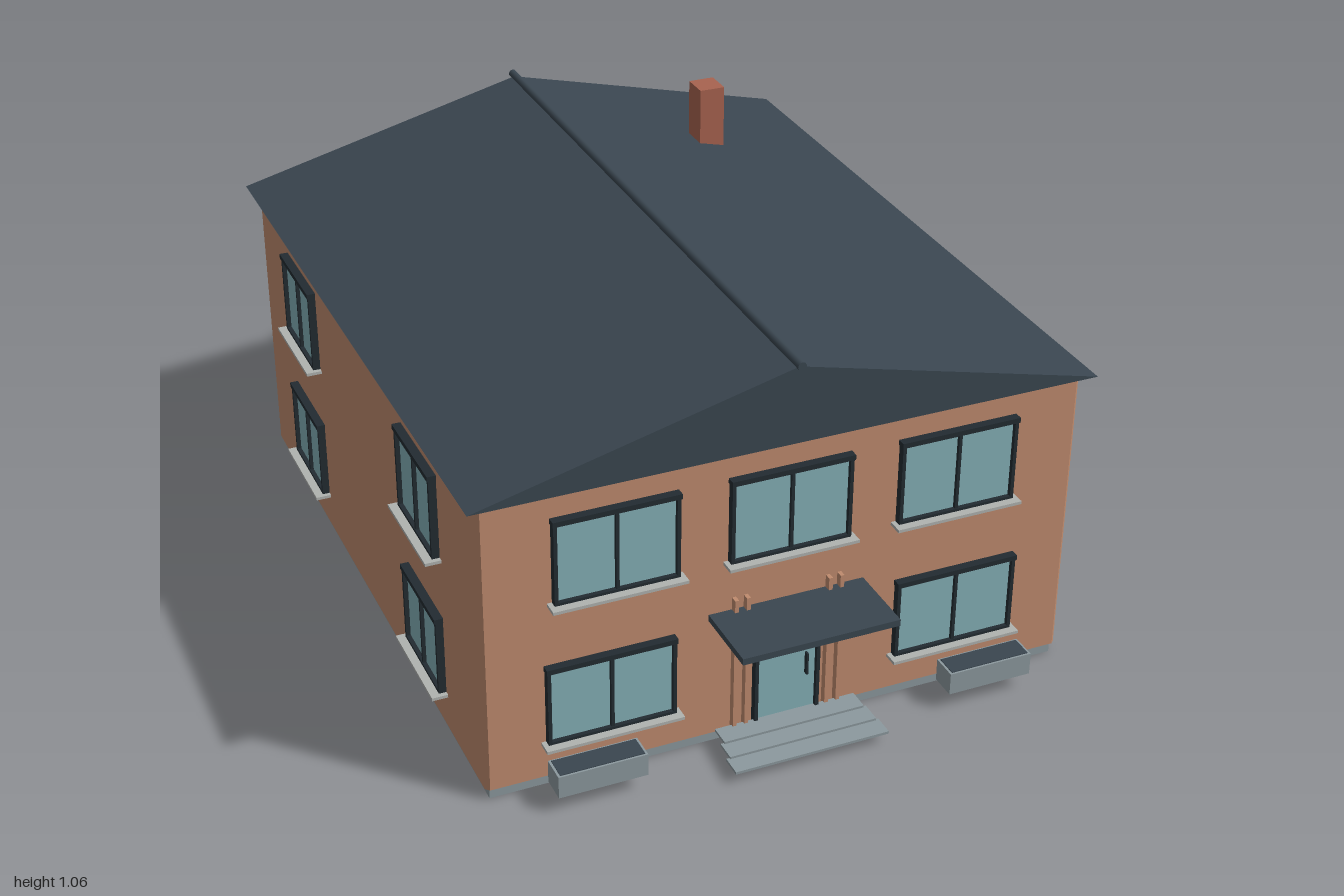
import * as THREE from 'three';

const paint = (name, color) => {
  const m = new THREE.MeshStandardMaterial({ color });
  m.name = name;
  return m;
};

export function createModel() {
  const wall = paint('brick wall', 0xbf8b6e);
  const roofing = paint('slate', 0x3a4650);
  const frame = paint('dark frame', 0x222b31);
  const glass = paint('glass', 0x84b0b7);
  const stone = paint('grey stone', 0x8c999e);
  const sillPaint = paint('pale sill', 0xb0b3b0);
  const brick = paint('chimney brick', 0xa86350);

  const model = new THREE.Group();
  model.name = 'house';

  // Box given by its limits on each axis
  function box(parent, name, mat, x0, x1, y0, y1, z0, z1) {
    const mesh = new THREE.Mesh(new THREE.BoxGeometry(x1 - x0, y1 - y0, z1 - z0), mat);
    mesh.position.set((x0 + x1) / 2, (y0 + y1) / 2, (z0 + z1) / 2);
    mesh.name = name;
    parent.add(mesh);
    return mesh;
  }

  // Foundation and walls with chamfered corners
  const W = 0.757, Z0 = -0.95, Z1 = 0.81, C = 0.01;
  box(model, 'foundation', stone, -0.746, 0.746, 0, 0.032, Z0 + 0.01, Z1 - 0.01);
  const plan = new THREE.Shape([
    [-W + C, -Z1], [W - C, -Z1], [W, -Z1 + C], [W, -Z0 - C],
    [W - C, -Z0], [-W + C, -Z0], [-W, -Z0 - C], [-W, -Z1 + C],
  ].map(([x, y]) => new THREE.Vector2(x, y)));
  const walls = new THREE.Mesh(
    new THREE.ExtrudeGeometry(plan, { depth: 0.777, bevelEnabled: false }).rotateX(-Math.PI / 2), wall);
  walls.position.y = 0.03;
  walls.name = 'walls';
  model.add(walls);

  // Gabled roof, ridge cap and chimney
  const gable = new THREE.Shape([
    new THREE.Vector2(-0.785, 0.803), new THREE.Vector2(0.785, 0.803), new THREE.Vector2(0, 1.0),
  ]);
  const roof = new THREE.Mesh(
    new THREE.ExtrudeGeometry(gable, { depth: 1.824, bevelEnabled: false }), roofing);
  roof.position.z = -0.985;
  roof.name = 'roof';
  model.add(roof);
  const ridge = new THREE.Mesh(new THREE.CylinderGeometry(0.011, 0.011, 1.848, 10).rotateX(Math.PI / 2), roofing);
  ridge.position.set(0, 1.005, -0.073);
  ridge.name = 'ridgeCap';
  model.add(ridge);
  box(model, 'chimney', brick, 0.38, 0.45, 0.85, 1.058, -0.632, -0.556);

  // Each facade is a group: local x runs along the wall, local z points outwards
  function facade(name, x, z, turn) {
    const g = new THREE.Group();
    g.name = name;
    g.position.set(x, 0, z);
    g.rotation.y = turn;
    model.add(g);
    return g;
  }

  // Jambs and a slightly wider lintel around an opening
  function surround(g, x0, x1, y0, y1) {
    const t = 0.009;
    box(g, 'glassPane', glass, x0 + t / 2, x1 - t / 2, y0, y1 - t / 2, 0, 0.008);
    box(g, 'jamb', frame, x0, x0 + t, y0, y1, 0, 0.019);
    box(g, 'jamb', frame, x1 - t, x1, y0, y1, 0, 0.019);
    box(g, 'lintel', frame, x0 - 0.002, x1 + 0.002, y1 - 0.011, y1 + 0.002, 0, 0.022);
  }

  function addWindow(parent, cx, width, y0, y1) {
    const g = new THREE.Group();
    g.name = 'window';
    parent.add(g);
    const h = width / 2;
    surround(g, cx - h, cx + h, y0, y1);
    box(g, 'mullion', frame, cx - 0.004, cx + 0.004, y0, y1, 0, 0.017);
    box(g, 'bottomRail', frame, cx - h, cx + h, y0, y0 + 0.007, 0, 0.019);
    box(g, 'sill', sillPaint, cx - h - 0.012, cx + h + 0.012, y0 - 0.008, y0, 0, 0.04);
  }

  function addDoor(parent, y0) {
    const g = new THREE.Group();
    g.name = 'door';
    parent.add(g);
    surround(g, -0.085, 0.085, y0, 0.32);
    box(g, 'threshold', frame, -0.087, 0.087, 0.02, 0.03, -0.01, 0.022);
    box(g, 'handle', frame, 0.049, 0.054, 0.145, 0.205, 0.006, 0.02);
  }

  const low = [0.13, 0.34], high = [0.51, 0.73];

  const front = facade('frontFacade', 0, Z1, 0);
  for (const x of [-0.432, 0, 0.432]) addWindow(front, x, 0.306, ...high);
  for (const x of [-0.447, 0.447]) addWindow(front, x, 0.32, ...low);
  addDoor(front, 0.03);

  const back = facade('backFacade', 0, Z0, Math.PI);
  for (const x of [-0.42, 0.42]) {
    addWindow(back, x, 0.295, ...high);
    addWindow(back, x, 0.315, ...low);
  }
  addDoor(back, 0.03);

  for (const side of [1, -1]) {
    const g = facade(side > 0 ? 'leftFacade' : 'rightFacade', side * W, 0, side * Math.PI / 2);
    for (const z of [0.413, -0.557])
      for (const level of [low, high]) addWindow(g, -side * z, 0.255, ...level);
  }

  // Entrance: canopy, paired pilasters and shallow steps
  box(model, 'canopy', roofing, -0.2, 0.2, 0.355, 0.372, Z1, 1.0);
  for (const side of [1, -1])
    for (const x of [0.106, 0.136])
      box(model, 'pilaster', wall, side * x - 0.005, side * x + 0.005, 0.04, 0.405, Z1, Z1 + 0.018);
  for (let i = 0; i < 3; i++) {
    const z = 0.975 - i * 0.05, w = 0.2 - i * 0.008;
    box(model, 'step', stone, -w, w, 0.027 + i * 0.006, 0.034 + i * 0.006, Math.max(z - 0.055, Z1), z);
  }

  // Planters filled with dark soil
  for (const side of [1, -1]) {
    const x = side * 0.507;
    box(model, 'planter', stone, x - 0.111, x + 0.111, 0.045, 0.104, 0.848, 0.916);
    box(model, 'soil', roofing, x - 0.105, x + 0.105, 0.1, 0.106, 0.853, 0.911);
  }

  return model;
}
